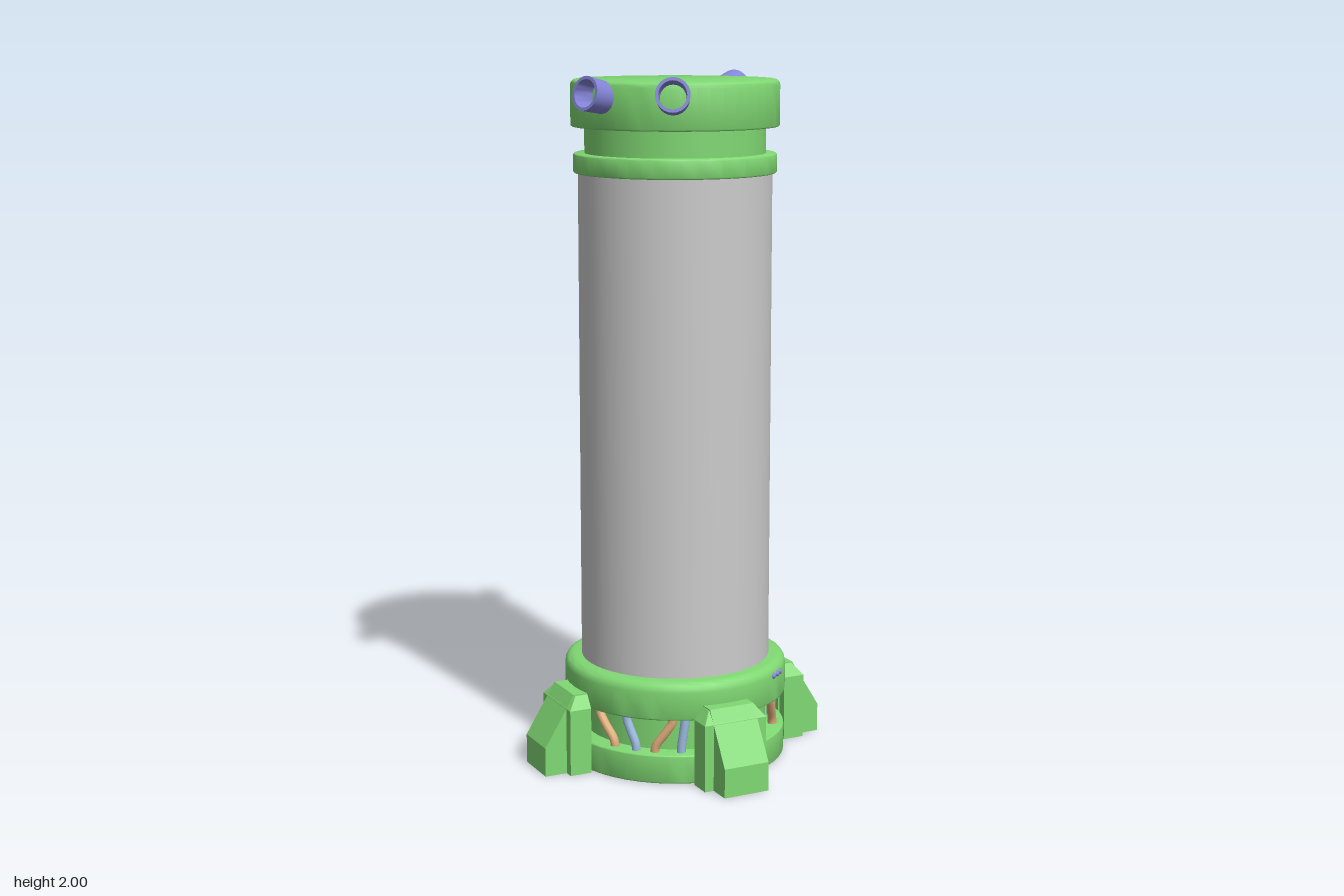
import * as THREE from 'three';
import { toCreasedNormals } from 'three/addons/utils/BufferGeometryUtils.js';

const mat = (color, opts = {}) => new THREE.MeshStandardMaterial({ color, ...opts });
const GREEN = mat(0x80d873);
const GREEN_FLAT = mat(0x80d873, { flatShading: true });
const GREY = mat(0xcccccc);
const PURPLE = mat(0x8484d8);
const TAN = mat(0xdfae7c);
const BLUE = mat(0x9dbce2);
const deg = THREE.MathUtils.degToRad;

function addMesh(parent, name, geometry, material) {
  const mesh = new THREE.Mesh(geometry, material);
  mesh.name = name;
  parent.add(mesh);
  return mesh;
}

// Solid of revolution with sharp edges kept sharp
function lathe(points, segments = 48) {
  const g = new THREE.LatheGeometry(points.map(([r, y]) => new THREE.Vector2(r, y)), segments);
  return toCreasedNormals(g, 0.6);
}

// Disc profile with rounded upper and lower rims
function disc(r, y0, y1, top, bottom = 0.005) {
  const pts = [[0, y0]];
  for (let i = 0; i <= 4; i++) {
    const a = (i / 4) * Math.PI / 2;
    pts.push([r - bottom + bottom * Math.sin(a), y0 + bottom - bottom * Math.cos(a)]);
  }
  for (let i = 0; i <= 4; i++) {
    const a = (i / 4) * Math.PI / 2;
    pts.push([r - top + top * Math.cos(a), y1 - top + top * Math.sin(a)]);
  }
  pts.push([0, y1]);
  return lathe(pts);
}

// Support foot pointing along +z: sloped block plus a wider flange against the base
function createFoot() {
  const foot = new THREE.Group();
  const s = new THREE.Shape();
  [[0.315, 0], [0.453, 0], [0.453, 0.085], [0.362, 0.233], [0.315, 0.233]]
    .forEach(([r, y], i) => (i ? s.lineTo(r, y) : s.moveTo(r, y)));
  const block = new THREE.ExtrudeGeometry(s, { depth: 0.14, bevelEnabled: false });
  block.translate(0, 0, -0.07).rotateY(-Math.PI / 2);
  addMesh(foot, 'footBlock', block, GREEN_FLAT);

  const flange = new THREE.BoxGeometry(0.2, 1, 1, 1, 2, 1);
  const p = flange.attributes.position;
  for (let i = 0; i < p.count; i++) {
    const level = Math.round((p.getY(i) + 0.5) * 2); // bottom, shoulder, tapered top
    const outer = p.getZ(i) > 0;
    p.setX(i, Math.sign(p.getX(i)) * (level === 2 ? 0.072 : 0.098));
    p.setY(i, [0, 0.195, 0.23][level]);
    p.setZ(i, outer ? (level === 2 ? 0.358 : 0.386) : 0.32);
  }
  addMesh(foot, 'footFlange', flange, GREEN_FLAT);
  return foot;
}

// Hollow nozzle along +y, open at its outer end
function createNozzle() {
  return lathe([[0, 0], [0.044, 0], [0.048, 0.1], [0.039, 0.1], [0.036, 0.025], [0, 0.025]], 24);
}

// Thin bent pipe in the gap between the two base rings
function createPipe(angle, lean) {
  const at = (a, y) => new THREE.Vector3(Math.sin(deg(a)) * 0.292, y, Math.cos(deg(a)) * 0.292);
  const curve = new THREE.CatmullRomCurve3([
    at(angle - lean, 0.07), at(angle - lean * 0.9, 0.1), at(angle + lean * 0.3, 0.145),
    at(angle + lean, 0.175), at(angle + lean, 0.205),
  ]);
  return new THREE.TubeGeometry(curve, 14, 0.013, 10);
}

export function createModel() {
  const model = new THREE.Group();
  model.name = 'canister';

  // Base: lower plate, recessed core, upper ring
  addMesh(model, 'basePlate', disc(0.325, 0, 0.085, 0.005), GREEN);
  addMesh(model, 'baseCore', new THREE.CylinderGeometry(0.27, 0.27, 0.13, 48).translate(0, 0.137, 0), GREEN);
  addMesh(model, 'baseRing', disc(0.328, 0.19, 0.3, 0.028), GREEN);

  // Body tube
  addMesh(model, 'bodyTube', new THREE.CylinderGeometry(0.278, 0.278, 1.44, 48).translate(0, 1.015, 0), GREY);

  // Collar, neck and cap
  addMesh(model, 'collar', disc(0.291, 1.722, 1.778, 0.006), GREEN);
  addMesh(model, 'neck', new THREE.CylinderGeometry(0.259, 0.259, 0.1, 48).translate(0, 1.816, 0), GREEN);
  addMesh(model, 'cap', disc(0.298, 1.853, 1.986, 0.016), GREEN);

  // Four feet
  for (let i = 0; i < 4; i++) {
    const foot = createFoot();
    foot.name = 'foot';
    foot.rotation.y = i * Math.PI / 2;
    model.add(foot);
  }

  // Nozzles around the cap, tilted slightly upward
  for (const angle of [123.5, -69.5, -27.5]) {
    const pivot = new THREE.Group();
    pivot.name = 'nozzle';
    pivot.rotation.y = deg(angle);
    const nozzle = addMesh(pivot, 'nozzleTube', createNozzle(), PURPLE);
    nozzle.position.set(0, 1.936, 0.262);
    nozzle.rotation.x = deg(79);
    model.add(pivot);
  }

  // Pipes: [angle, lean, material]
  const pipes = [
    [19, -2, BLUE], [27, -3, TAN], [52, -4, TAN], [69, -3, BLUE],
    [112, 3, TAN], [125, 4, TAN], [141, 0, BLUE], [158, -4, TAN],
    [-22, 1, BLUE], [-33, 5, TAN], [-52, -3, BLUE], [-69, -6, TAN],
    [-112, 4, TAN], [-125, 4, TAN], [-140, 0, BLUE], [-157, -4, TAN],
  ];
  for (const [angle, lean, material] of pipes) {
    addMesh(model, 'pipe', createPipe(angle, lean), material);
  }

  // Three indicator studs on the base ring
  for (const offset of [-4.2, 0, 4.2]) {
    const a = deg(39 + offset);
    const stud = addMesh(model, 'stud', new THREE.SphereGeometry(0.009, 12, 8), PURPLE);
    stud.position.set(Math.sin(a) * 0.326, 0.27, Math.cos(a) * 0.326);
  }

  return model;
}
